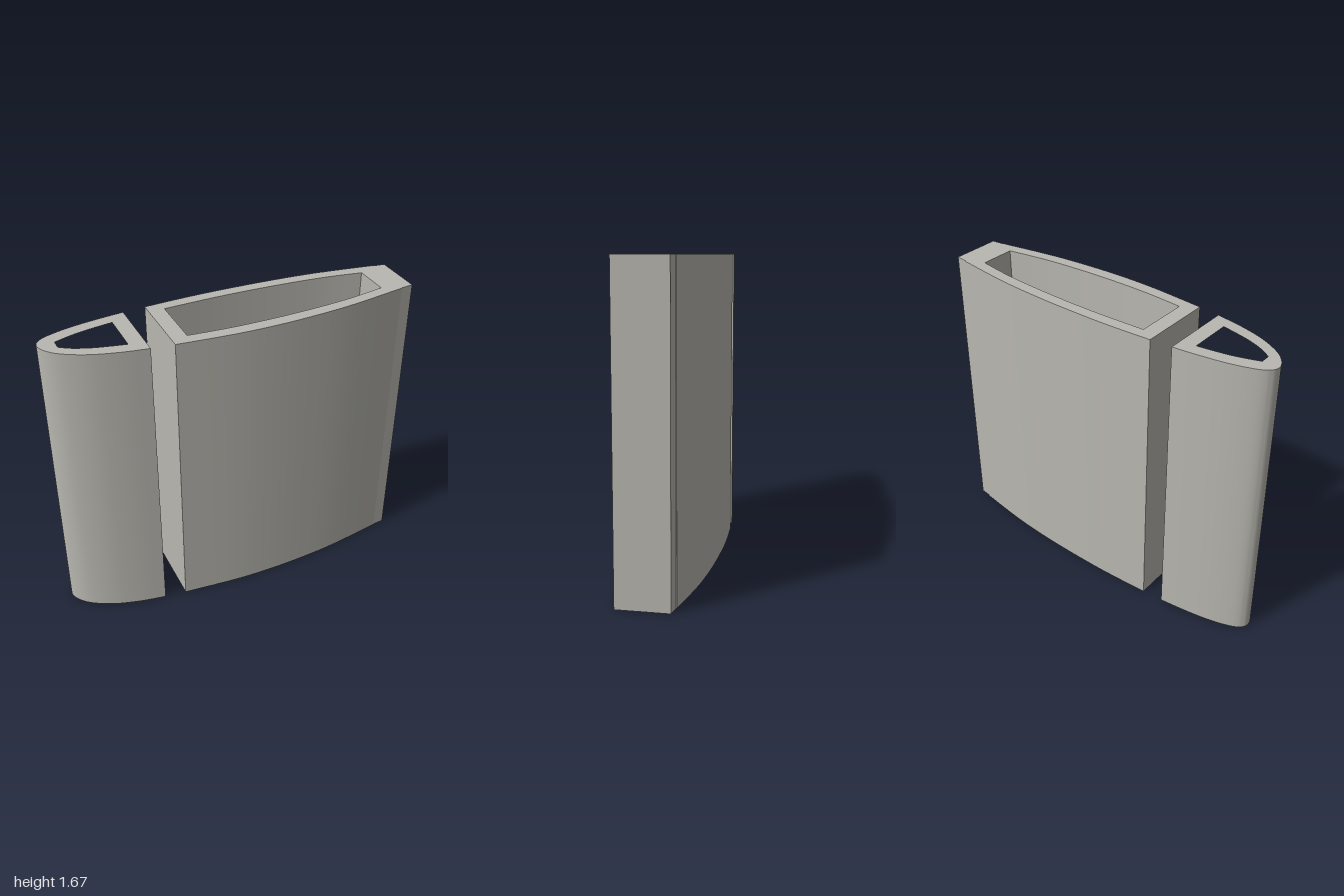
import * as THREE from 'three';
import { toCreasedNormals } from 'three/addons/utils/BufferGeometryUtils.js';

const HEIGHT = 1.67;

// Smooth run of points through a few [x, z] stations
function curve(stations, divisions = 32) {
  const pts = stations.map(([x, z]) => new THREE.Vector2(x, z));
  return new THREE.SplineCurve(pts).getPoints(divisions);
}

// Upright extrusion of an [x, z] outline with an optional hole
function column(name, outline, hole, material) {
  const shape = new THREE.Shape(outline);
  if (hole) shape.holes.push(new THREE.Path(hole));
  let geo = new THREE.ExtrudeGeometry(shape, { depth: HEIGHT, bevelEnabled: false });
  geo.rotateX(Math.PI / 2);
  geo.translate(0, HEIGHT, 0);
  geo = toCreasedNormals(geo, 0.45);
  const mesh = new THREE.Mesh(geo, material);
  mesh.name = name;
  return mesh;
}

export function createModel() {
  const model = new THREE.Group();
  model.name = 'slottedFoilSection';
  const grey = new THREE.MeshStandardMaterial({ color: 0xb8b7b0 });
  grey.name = 'warm grey';

  // Rounded nose section with a hollow core
  const noseOuter = curve([
    [-0.51, -0.215], [-0.65, -0.2], [-0.8, -0.176], [-0.92, -0.142], [-0.98, -0.108],
    [-1, -0.065], [-0.98, -0.01], [-0.92, 0.052], [-0.8, 0.116], [-0.65, 0.16], [-0.51, 0.185],
  ], 50);
  const noseHole = [
    ...curve([[-0.595, -0.135], [-0.7, -0.12], [-0.8, -0.1], [-0.91, -0.065]], 16),
    ...curve([[-0.91, -0.012], [-0.85, 0.027], [-0.75, 0.066], [-0.595, 0.102]], 16),
  ];
  model.add(column('noseSection', noseOuter, noseHole, grey));

  // Main hollow body behind the slot
  const bodyOuter = [
    ...curve([[-0.39, -0.223], [-0.2, -0.232], [0, -0.235], [0.3, -0.227], [0.6, -0.203], [0.93, -0.153]]),
    ...curve([[0.93, 0.149], [0.6, 0.203], [0.35, 0.226], [0.12, 0.234], [-0.1, 0.227], [-0.39, 0.2]]),
  ];
  const bodyHole = [
    ...curve([[-0.305, -0.162], [0, -0.169], [0.3, -0.161], [0.6, -0.137], [0.83, -0.1]]),
    ...curve([[0.83, 0.1], [0.6, 0.137], [0.35, 0.157], [0.12, 0.163], [-0.1, 0.158], [-0.305, 0.141]]),
  ];
  model.add(column('mainBody', bodyOuter, bodyHole, grey));

  // Solid trailing strip
  const strip = [[0.93, -0.149], [1, -0.139], [1, 0.139], [0.93, 0.147]]
    .map(([x, z]) => new THREE.Vector2(x, z));
  model.add(column('trailingStrip', strip, null, grey));

  return model;
}
